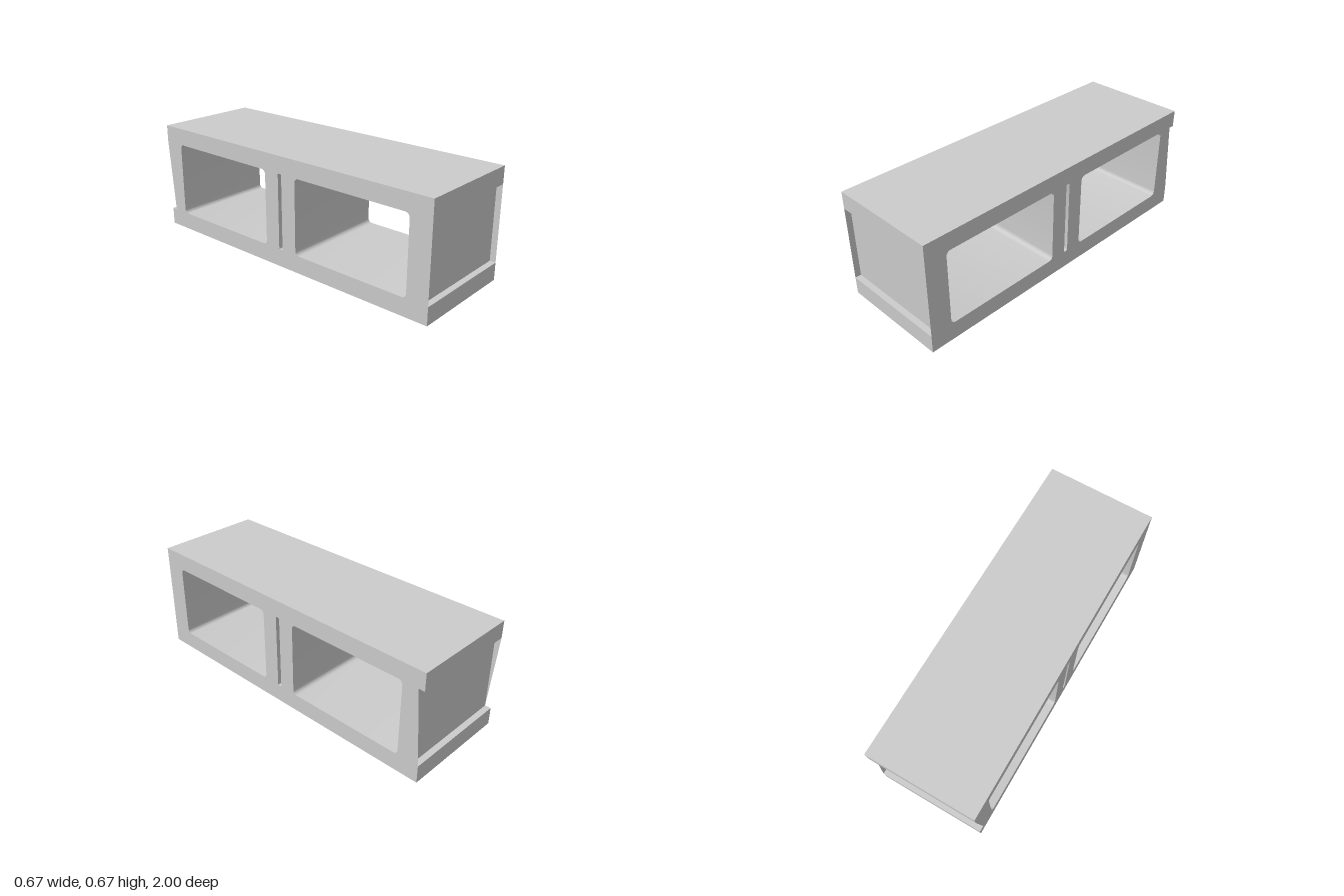
import * as THREE from 'three';
import { toCreasedNormals } from 'three/addons/utils/BufferGeometryUtils.js';

const W = 0.666, H = 0.667;          // block width and height
const LOW = 0.106, HIGH = 0.563;     // openings and recesses run between these heights
const DEPTH = 0.036;                 // depth of end recesses and slots
const IN = 1 - DEPTH;

// rounded rectangle from a to b along the block, between LOW and HIGH
function opening(a, b, r) {
  const p = new THREE.Path();
  p.absarc(b - r, HIGH - r, r, 0, Math.PI / 2);
  p.absarc(a + r, HIGH - r, r, Math.PI / 2, Math.PI);
  p.absarc(a + r, LOW + r, r, Math.PI, Math.PI * 1.5);
  p.absarc(b - r, LOW + r, r, Math.PI * 1.5, Math.PI * 2);
  p.closePath();
  return p;
}

const polygon = (pts) => new THREE.Shape(pts.map(([x, y]) => new THREE.Vector2(x, y)));

export function createModel() {
  const group = new THREE.Group();
  group.name = 'hollowBlock';
  const solid = new THREE.MeshStandardMaterial({ color: 0xcccccc });
  const thin = new THREE.MeshStandardMaterial({ color: 0xcccccc, side: THREE.DoubleSide });

  // the side profile is drawn in (-z, y) and swept across x
  const block = new THREE.Group();
  block.name = 'block';
  block.rotation.y = Math.PI / 2;
  group.add(block);

  const add = (name, geometry, material, z = 0) => {
    const mesh = new THREE.Mesh(geometry, material);
    mesh.name = name;
    mesh.position.z = z;
    block.add(mesh);
  };

  // body with a recess in each end, two cores and a narrow centre slot
  const profile = polygon([
    [-1, 0], [1, 0], [1, LOW], [IN, LOW], [IN, HIGH], [1, HIGH],
    [1, H], [-1, H], [-1, HIGH], [-IN, HIGH], [-IN, LOW], [-1, LOW],
  ]);
  profile.holes.push(
    opening(-0.869, -0.114, 0.027),
    opening(0.114, 0.869, 0.027),
    opening(-0.013, 0.013, 0.005),
  );
  const body = new THREE.ExtrudeGeometry(profile, { depth: W, bevelEnabled: false, curveSegments: 6 });
  body.translate(0, 0, -W / 2);
  add('body', toCreasedNormals(body, 0.6), solid);

  // thin cheeks: whole at the front recess, half-open triangles at the back one
  const frontCheek = [[-1, LOW], [-IN, LOW], [-IN, HIGH], [-1, HIGH]];
  const backCheeks = {
    1: [[IN, LOW], [1, LOW], [IN, HIGH]],
    '-1': [[IN, LOW], [1, HIGH], [IN, HIGH]],
  };
  for (const side of [1, -1]) {
    const label = side > 0 ? 'Left' : 'Right';
    add('frontCheek' + label, new THREE.ShapeGeometry(polygon(frontCheek)), thin, side * W / 2);
    add('backCheek' + label, new THREE.ShapeGeometry(polygon(backCheeks[side])), thin, side * W / 2);

    // floor of the blind centre slot
    const floor = new THREE.PlaneGeometry(0.026, HIGH - LOW);
    floor.translate(0, (HIGH + LOW) / 2, 0);
    add('slotFloor' + label, floor, thin, side * (W / 2 - DEPTH));
  }
  return group;
}
